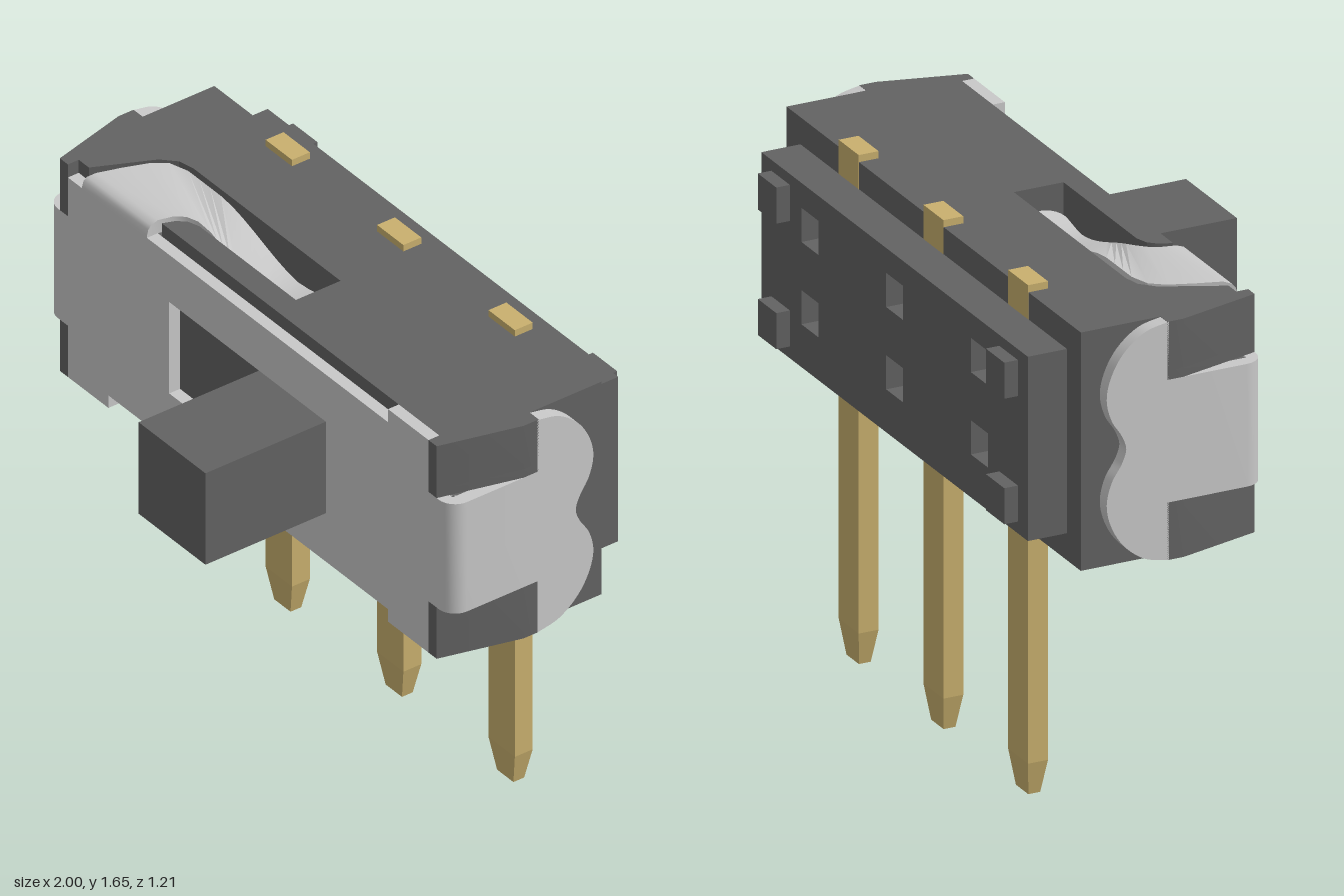
import * as THREE from 'three';
import { mergeGeometries, toCreasedNormals } from 'three/addons/utils/BufferGeometryUtils.js';

const plastic = new THREE.MeshStandardMaterial({ name: 'dark grey plastic', color: 0x626262 });
const metal = new THREE.MeshStandardMaterial({ name: 'light grey metal', color: 0xc8c8c8 });
const gold = new THREE.MeshStandardMaterial({ name: 'gold', color: 0xc9b06e });

const BOTTOM = 0.86, TOP = 1.627, MID = (BOTTOM + TOP) / 2;
const BAND0 = 1.045, BAND1 = 1.44;

const toShape = (pts) => new THREE.Shape(pts.map(([x, y]) => new THREE.Vector2(x, y)));
const rect = (x0, x1, y0, y1) => [[x0, y0], [x1, y0], [x1, y1], [x0, y1]];
const extrude = (shape, depth) =>
  toCreasedNormals(new THREE.ExtrudeGeometry(shape, { depth, bevelEnabled: false }), 0.5);

// Horizontal slab from an outline in (x, z)
function slab(pts, y0, y1) {
  const g = extrude(toShape(pts.map(([x, z]) => [x, -z])), y1 - y0);
  return g.rotateX(-Math.PI / 2).translate(0, y0, 0);
}

// Upright plate from an outline in (x, y), with optional holes
function plate(pts, z0, z1, holes = []) {
  const s = toShape(pts);
  s.holes = holes.map((h) => toShape(h));
  return extrude(s, z1 - z0).translate(0, 0, z0);
}

function box(x0, x1, y0, y1, z0, z1) {
  return new THREE.BoxGeometry(x1 - x0, y1 - y0, z1 - z0)
    .translate((x0 + x1) / 2, (y0 + y1) / 2, (z0 + z1) / 2);
}

// Housing outline with tapered ears; the notch points go along the front edge
function housingOutline(notch = []) {
  const side = [[0.955, -0.43], [0.955, -0.165], [1, -0.165], [1, -0.11], [0.93, 0.16], [0.89, 0.16], [0.89, 0.12]];
  const mirrored = side.map(([x, z]) => [-x, z]).reverse();
  return [...side, ...notch, ...mirrored];
}

// Spring tongue: paired edge points, bent over the front and dipping into the recess
function tongueGeometry() {
  const outer = [[-0.82, 0.16], [-0.819, 0.155], [-0.815, 0.145], [-0.805, 0.12], [-0.78, 0.04], [-0.75, -0.04],
    [-0.715, -0.085], [-0.65, -0.105]];
  const inner = [[-0.5, 0.16], [-0.5, 0.155], [-0.5, 0.145], [-0.5, 0.12], [-0.488, 0.07], [-0.465, 0.04],
    [-0.43, 0.022], [-0.38, 0.015]];
  for (let i = 1; i <= 12; i++) {
    const t = i / 12;
    outer.push([-0.65 + 0.65 * t, -0.105]);
    inner.push([-0.38 + 0.38 * t, 0.015]);
  }
  for (let i = 1; i <= 6; i++) {
    const a = (i / 6) * Math.PI / 2 * 0.97;
    outer.push([0.06 * Math.sin(a), -0.045 - 0.06 * Math.cos(a)]);
    inner.push([0.06 * Math.sin(a), -0.045 + 0.06 * Math.cos(a)]);
  }
  const dip = (x) => (x < -0.08
    ? 0.1 * THREE.MathUtils.smoothstep(x, -0.5, -0.08)
    : 0.1 - 0.03 * (x + 0.08) / 0.14);
  const round = (z) => (z > 0.12 ? 0.04 - Math.sqrt(Math.max(0, 0.0016 - (z - 0.12) ** 2)) : 0);
  const pos = [], idx = [];
  outer.forEach((o, i) => {
    for (const [x, z] of [o, inner[i]]) {
      pos.push(x, TOP - dip(x) - round(z), z, x, TOP - 0.047 - dip(x), z);
    }
  });
  const quad = (a, b, c, d) => idx.push(a, b, c, a, c, d);
  const n = outer.length;
  for (let i = 0; i < n - 1; i++) {
    const a = i * 4, b = a + 4;
    quad(a, a + 2, b + 2, b);
    quad(a + 1, b + 1, b + 3, a + 3);
    quad(a, b, b + 1, a + 1);
    quad(a + 2, a + 3, b + 3, b + 2);
  }
  const e = (n - 1) * 4;
  quad(0, 1, 3, 2);
  quad(e, e + 2, e + 3, e + 1);
  const g = new THREE.BufferGeometry();
  g.setAttribute('position', new THREE.Float32BufferAttribute(pos, 3));
  g.setIndex(idx);
  return toCreasedNormals(g, 0.6);
}

// Two-lobed side clip, spline in (-z, y)
function lobeGeometry() {
  const half = [[0.16, BOTTOM], [0.24, 0.879], [0.31, 0.933], [0.353, 1.005], [0.367, 1.075], [0.35, 1.145], [0.316, 1.2]];
  const pts = [...half, [0.302, MID], ...half.map(([u, y]) => [u, 2 * MID - y]).reverse()];
  const curve = new THREE.CatmullRomCurve3(pts.map(([u, y]) => new THREE.Vector3(u, y, 0)));
  const outline = curve.getPoints(70).map((p) => [p.x, p.y]);
  return extrude(toShape(outline), 0.045).rotateY(Math.PI / 2);
}

// Clip band round the +x (s = 1) or -x (s = -1) front corner
function bandGeometry(s) {
  const arc = (c, r) => Array.from({ length: 9 }, (_, i) => {
    const a = Math.PI / 2 * (1 - i / 8);
    return [c[0] + r * Math.cos(a), c[1] + r * Math.sin(a)];
  });
  const pts = [[0.89, 0.16], ...arc([0.94, 0.1], 0.06), [1, -0.16],
    [0.955, -0.16], ...arc([0.935, 0.1], 0.02).reverse(), [0.89, 0.12]];
  return slab(pts.map(([x, z]) => [s * x, z]), BAND0, BAND1);
}

// Pin with a tapered tip
function pinGeometry() {
  const tip = box(-0.065, 0.065, 0, 0.11, -0.033, 0.033);
  const p = tip.attributes.position;
  for (let i = 0; i < p.count; i++) {
    if (p.getY(i) < 0.01) p.setXYZ(i, p.getX(i) * 0.62, 0, p.getZ(i) * 0.6);
  }
  tip.computeVertexNormals();
  return mergeGeometries([tip, box(-0.065, 0.065, 0.11, 1.65, -0.033, 0.033)]);
}

export function createModel() {
  const model = new THREE.Group();
  model.name = 'slideSwitch';
  const add = (name, geometry, material, x = 0, z = 0) => {
    const mesh = new THREE.Mesh(geometry, material);
    mesh.name = name;
    mesh.position.set(x, 0, z);
    model.add(mesh);
  };

  // Housing, in layers: ears above and below the clip band, recess in the top
  const recess = [[0.075, 0.12], [-0.48, 0.12], [-0.465, 0.08], [-0.44, 0.053], [-0.4, 0.04], [0.075, 0.04],
    [0.075, -0.125], [-0.65, -0.125], [-0.705, -0.113], [-0.75, -0.07], [-0.84, 0.12]];
  add('housingBottom', slab(housingOutline(), BOTTOM, BAND0), plastic);
  add('housingMiddle', box(-0.955, 0.955, BAND0, BAND1, -0.43, 0.12), plastic);
  add('housingUpper', slab(housingOutline(), BAND1, 1.47), plastic);
  add('housingTop', slab(housingOutline(recess.slice(1)), 1.47, TOP), plastic);

  // Rear block with square holes and standoffs
  const holes = [];
  for (const x of [-0.55, 0, 0.55]) {
    for (const y of [1.14, 1.405]) holes.push(rect(x - 0.055, x + 0.055, y - 0.055, y + 0.055));
  }
  add('rearBlock', plate(rect(-0.865, 0.865, 0.947, 1.54), -0.56, -0.43, holes), plastic);
  for (const x of [-0.74, 0.74]) {
    for (const y of [1.043, 1.447]) {
      add('standoff', box(x - 0.06, x + 0.06, y - 0.058, y + 0.058, -0.605, -0.56), plastic);
    }
  }

  // Metal cover with slider window, side bands, lobes and spring tongue
  const cover = [[-0.89, BOTTOM], [-0.69, BOTTOM], [-0.69, 0.905], [0.69, 0.905], [0.69, BOTTOM], [0.89, BOTTOM],
    [0.89, TOP], [0.69, TOP], [0.69, 1.58], [-0.89, 1.58]];
  add('frontCover', plate(cover, 0.12, 0.16, [rect(-0.39, 0.385, 1.08, 1.41)]), metal);
  for (const s of [-1, 1]) {
    add('sideBand', bandGeometry(s), metal);
    add('sideLobes', lobeGeometry(), metal, s > 0 ? 0.955 : -1);
  }
  add('springTongue', tongueGeometry(), metal);

  // Slider knob
  add('slider', box(0.053, 0.383, 1.08, 1.41, 0.1, 0.605), plastic);

  // Contact pins, flush with the housing back
  for (const x of [-0.55, 0, 0.55]) add('pin', pinGeometry(), gold, x, -0.398);

  return model;
}
